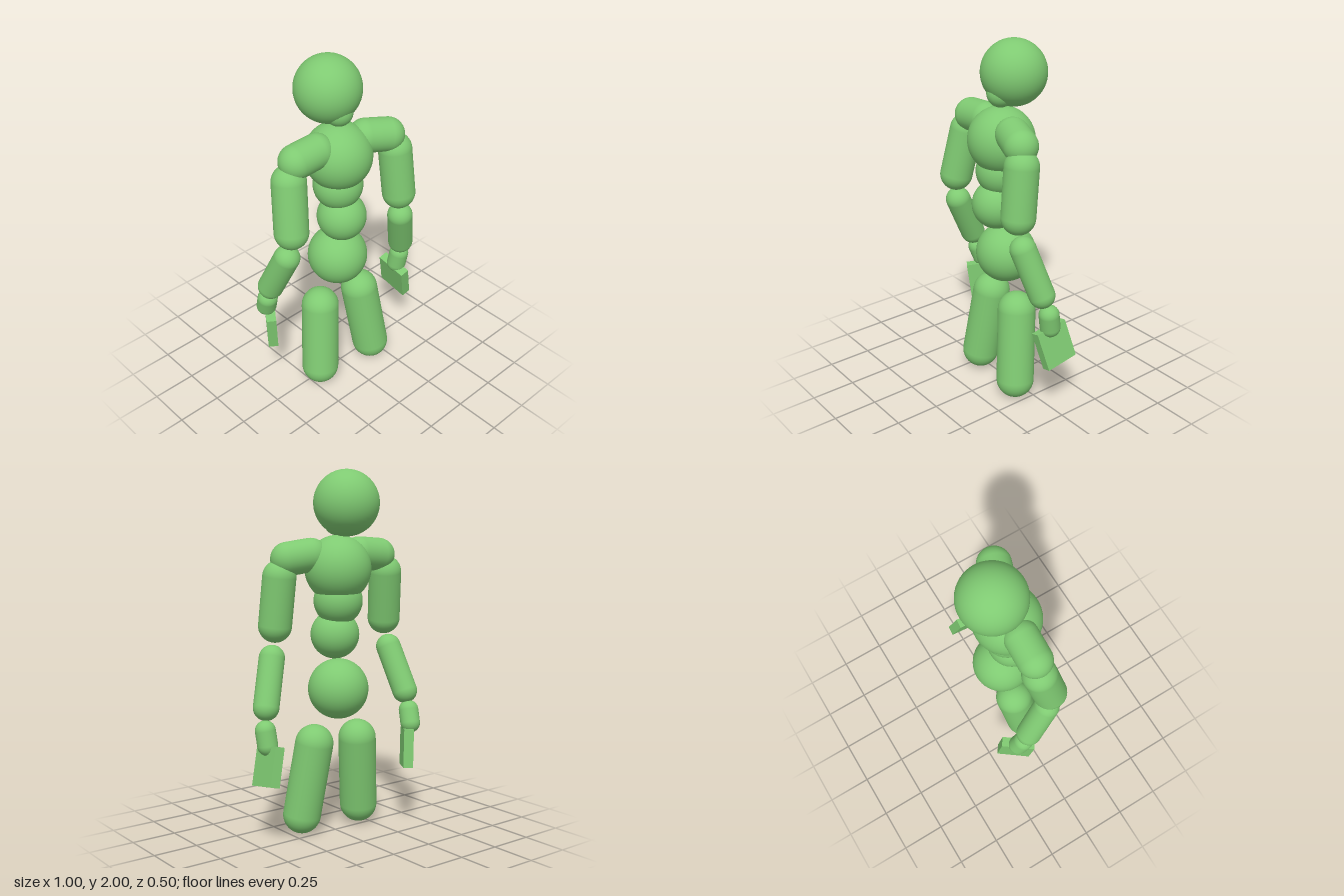
import * as THREE from 'three';

export function createModel() {
  const model = new THREE.Group();
  const green = new THREE.MeshStandardMaterial({ color: 0x7fca72 });
  green.name = 'green';

  const add = (name, geometry) => {
    const mesh = new THREE.Mesh(geometry, green);
    mesh.name = name;
    model.add(mesh);
    return mesh;
  };

  const ball = (name, radius, x, y, z) =>
    add(name, new THREE.SphereGeometry(radius, 48, 32)).position.set(x, y, z);

  // Capsule between the centres of its two round ends
  const capsule = (name, radius, from, to) => {
    const a = new THREE.Vector3(...from);
    const b = new THREE.Vector3(...to);
    const mesh = add(name, new THREE.CapsuleGeometry(radius, a.distanceTo(b), 16, 40));
    mesh.position.copy(a).add(b).multiplyScalar(0.5);
    mesh.quaternion.setFromUnitVectors(new THREE.Vector3(0, 1, 0), b.sub(a).normalize());
  };

  // Flat slab: 'across' runs along the palm, 'down' towards the fingertips
  const hand = (name, centre, across, down) => {
    const w = new THREE.Vector3(...across).normalize();
    const t = new THREE.Vector3().crossVectors(new THREE.Vector3(...down), w).normalize();
    const up = new THREE.Vector3().crossVectors(t, w).negate();
    const mesh = add(name, new THREE.BoxGeometry(0.19, 0.215, 0.055));
    const normal = new THREE.Vector3().crossVectors(w, up);
    mesh.quaternion.setFromRotationMatrix(new THREE.Matrix4().makeBasis(w, up, normal));
    mesh.position.set(...centre);
  };

  // Head and torso
  ball('head', 0.178, -0.022, 1.822, -0.07);
  ball('neck', 0.074, -0.026, 1.723, 0.016);
  ball('chest', 0.183, -0.026, 1.469, 0.01);
  ball('waist', 0.135, -0.03, 1.294, 0.013);
  ball('belly', 0.135, -0.03, 1.106, 0.042);
  ball('pelvis', 0.167, -0.013, 0.81, -0.01);

  // Right arm
  capsule('rightShoulder', 0.092, [-0.17, 1.55, 0.005], [-0.305, 1.54, 0]);
  capsule('rightUpperArm', 0.092, [-0.355, 1.442, 0], [-0.391, 1.175, 0.05]);
  capsule('rightForearm', 0.071, [-0.41, 1.008, 0.028], [-0.434, 0.762, -0.09]);
  capsule('rightWrist', 0.056, [-0.434, 0.655, -0.125], [-0.425, 0.585, -0.15]);
  hand('rightHand', [-0.4, 0.446, -0.15], [0.57, 0.13, -0.81], [0.1, -0.98, -0.09]);

  // Left arm
  capsule('leftShoulder', 0.092, [0.125, 1.545, 0.055], [0.246, 1.525, 0.1]);
  capsule('leftUpperArm', 0.092, [0.283, 1.43, 0.123], [0.294, 1.165, 0.152]);
  capsule('leftForearm', 0.071, [0.323, 0.993, 0.143], [0.405, 0.739, 0.08]);
  capsule('leftWrist', 0.056, [0.431, 0.622, 0.05], [0.426, 0.543, 0.037]);
  hand('leftHand', [0.438, 0.433, 0.016], [0.02, 0.17, -0.98], [0.27, -0.94, -0.17]);

  // Legs
  capsule('rightLeg', 0.106, [-0.148, 0.513, -0.01], [-0.196, 0.112, 0.037]);
  capsule('leftLeg', 0.106, [0.127, 0.513, 0.025], [0.177, 0.106, 0.074]);

  return model;
}
